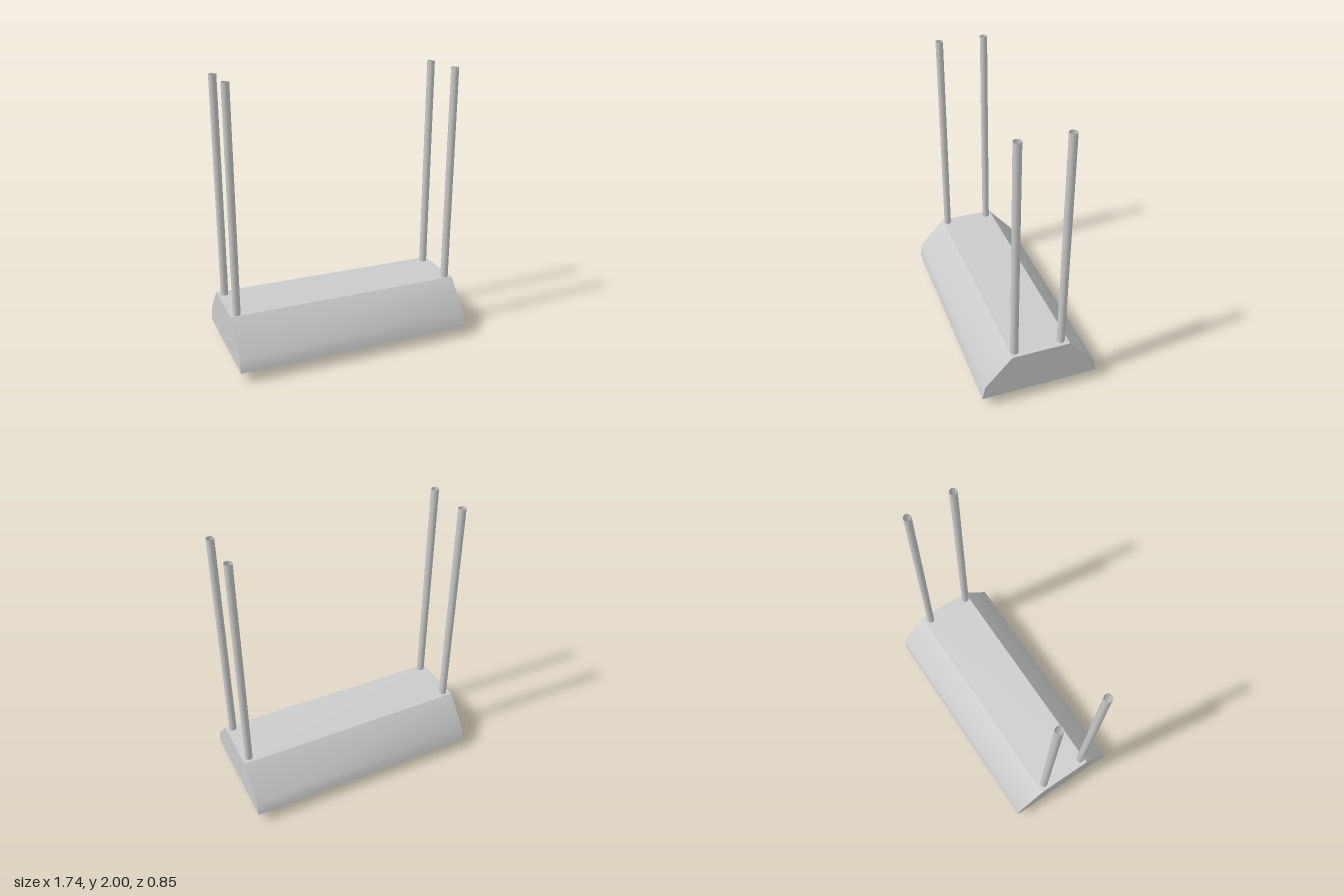
import * as THREE from 'three';
import { mergeVertices, toCreasedNormals } from 'three/addons/utils/BufferGeometryUtils.js';

const LENGTH = 1.74, BOTTOM = 0.08, CEILING = 0.165, RIM = 0.1;

const grey = new THREE.MeshStandardMaterial({ color: 0xcccccc });
const greyOpen = new THREE.MeshStandardMaterial({ color: 0xcccccc, side: THREE.DoubleSide });

function addMesh(parent, name, geometry, material = grey) {
  const mesh = new THREE.Mesh(geometry, material);
  mesh.name = name;
  parent.add(mesh);
  return mesh;
}

// Extrudes a [z, y] profile along x, centred on x = 0
function prism(points, length) {
  const shape = new THREE.Shape(points.map(([z, y]) => new THREE.Vector2(-z, y)));
  const geometry = new THREE.ExtrudeGeometry(shape, { depth: length, bevelEnabled: false });
  geometry.translate(0, 0, -length / 2);
  geometry.rotateY(Math.PI / 2);
  return geometry;
}

// Flat rectangle used for the rim, with a smaller rectangular hole
function rectangle(Type, x, z) {
  return new Type([[-x, -z], [x, -z], [x, z], [-x, z]].map(([a, b]) => new THREE.Vector2(a, b)));
}

export function createModel() {
  const model = new THREE.Group();
  model.name = 'hangingLamp';

  // Hood: sloped sides with a soft bend, closed above the recess
  const hood = new THREE.Group();
  hood.name = 'hood';
  model.add(hood);
  const kneeY = 0.18;
  const upper = [[0.405, kneeY], [0.21, 0.4], [-0.21, 0.4], [-0.405, kneeY]];
  const lowerZ = 0.425;

  // Outer skin without its underside, which the rim and recess replace
  const shell = prism([[lowerZ, BOTTOM], ...upper, [-lowerZ, BOTTOM]], LENGTH);
  const source = shell.getAttribute('position');
  const kept = [];
  for (let i = 0; i < source.count; i += 3) {
    const triangle = [0, 1, 2].map((k) => new THREE.Vector3().fromBufferAttribute(source, i + k));
    if (triangle.some((v) => v.y > BOTTOM + 0.001)) triangle.forEach((v) => kept.push(v));
  }
  const skin = new THREE.BufferGeometry().setFromPoints(kept);
  addMesh(hood, 'hoodShell', toCreasedNormals(mergeVertices(skin), 0.62));

  // Rim frame and inner recess walls
  const holeX = LENGTH / 2 - RIM, holeZ = lowerZ - RIM;
  const frame = rectangle(THREE.Shape, LENGTH / 2, lowerZ);
  frame.holes.push(rectangle(THREE.Path, holeX, holeZ));
  const rim = new THREE.ShapeGeometry(frame);
  rim.rotateX(Math.PI / 2);
  addMesh(hood, 'rim', rim).position.y = BOTTOM;

  const depth = CEILING - BOTTOM;
  for (const s of [-1, 1]) {
    const side = addMesh(hood, 'recessSide', new THREE.PlaneGeometry(2 * holeX, depth));
    side.position.set(0, BOTTOM + depth / 2, s * holeZ);
    side.rotation.y = s > 0 ? Math.PI : 0;
    const end = addMesh(hood, 'recessEnd', new THREE.PlaneGeometry(2 * holeZ, depth));
    end.position.set(s * holeX, BOTTOM + depth / 2, 0);
    end.rotation.y = -s * Math.PI / 2;
  }
  const ceiling = addMesh(hood, 'recessCeiling', new THREE.PlaneGeometry(2 * holeX, 2 * holeZ));
  ceiling.rotation.x = Math.PI / 2;
  ceiling.position.y = CEILING;

  // Tapered light unit hanging out of the recess
  addMesh(model, 'lightUnit',
    prism([[0.08, 0], [0.225, CEILING], [-0.225, CEILING], [-0.08, 0]], 1.13));

  // Four open suspension tubes
  const tube = new THREE.CylinderGeometry(0.028, 0.028, 1.6, 12, 1, true);
  for (const x of [-0.82, 0.82]) {
    for (const z of [0.18, -0.16]) {
      addMesh(model, 'suspensionTube', tube, greyOpen).position.set(x, 1.2, z);
    }
  }
  return model;
}
